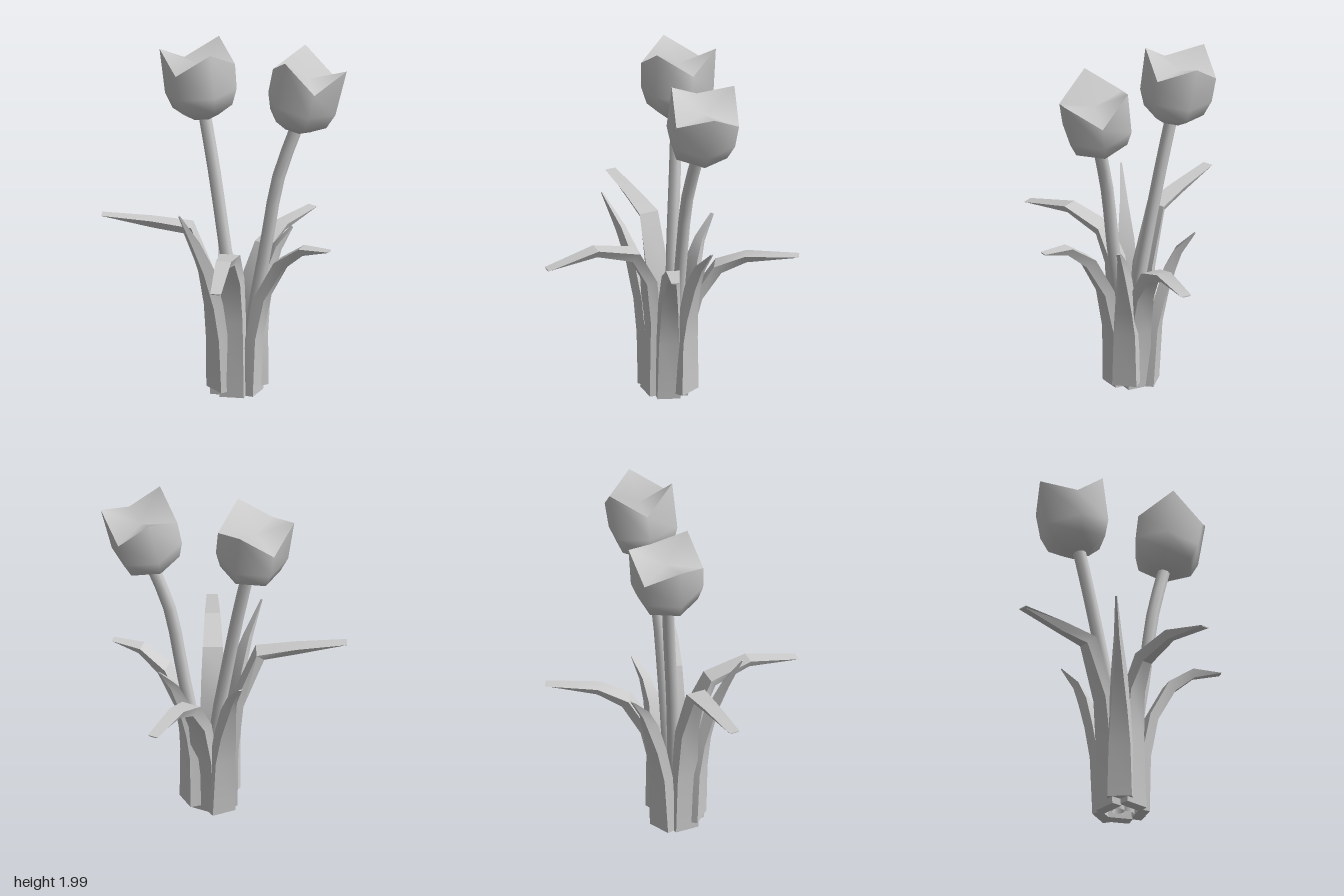
import * as THREE from 'three';
import { toCreasedNormals } from 'three/addons/utils/BufferGeometryUtils.js';

const grey = new THREE.MeshStandardMaterial({ color: 0xcccccc, side: THREE.DoubleSide });
grey.name = 'lightGrey';

// Centre of the clump from which all leaves spread
const CLUMP = new THREE.Vector3(-0.07, 0, 0);

function part(name, geometry) {
  const mesh = new THREE.Mesh(geometry, grey);
  mesh.name = name;
  return mesh;
}

// Six-sided bloom: the rim alternates petal tips and notches around a shallow closed top
function makeBloom(base, axis, turn, tipHeight) {
  const profile = [[0, 0], [0.08, 0.0], [0.165, 0.055], [0.198, 0.145], [0.203, 0.285], [0, 0.295]]
    .map(([r, h]) => new THREE.Vector2(r, h));
  const rim = 4;
  const geo = new THREE.LatheGeometry(profile, 6, THREE.MathUtils.degToRad(turn));
  const pos = geo.attributes.position;
  for (let i = 0; i <= 6; i += 2) pos.setY(i * profile.length + rim, tipHeight);
  const bloom = part('bloom', toCreasedNormals(geo, 1.2));
  bloom.position.set(...base);
  bloom.quaternion.setFromUnitVectors(new THREE.Vector3(0, 1, 0), new THREE.Vector3(...axis).normalize());
  return bloom;
}

function makeStem(points) {
  const curve = new THREE.CatmullRomCurve3(points.map((p) => new THREE.Vector3(...p)));
  return part('stem', new THREE.TubeGeometry(curve, 10, 0.035, 8));
}

// Blade bent outward: flat upper face and a narrower keel below, both tapering to the tip.
// path holds [distance from clump, height] of the upper face, widths runs base to tip.
const KEEL_DEPTH = [0.06, 0.055, 0.055, 0.06, 0.045, 0.006];
const KEEL_WIDTH = [0.9, 0.85, 0.75, 0.55, 0.45, 0.6];

function makeLeaf([dx, dz], path, widths) {
  const out = new THREE.Vector3(dx, 0, dz).normalize();
  const side = new THREE.Vector3(-out.z, 0, out.x);
  const up = new THREE.Vector3(0, 1, 0);
  const last = path.length - 1;
  const verts = [];
  const index = [];
  path.forEach(([r, y], i) => {
    const a = path[Math.max(i - 1, 0)];
    const b = path[Math.min(i + 1, last)];
    const len = Math.hypot(b[0] - a[0], b[1] - a[1]);
    // Outward (lower) normal of the blade
    const n = out.clone().multiplyScalar((b[1] - a[1]) / len).addScaledVector(up, -(b[0] - a[0]) / len);
    if (i === 0) n.copy(out);
    const centre = CLUMP.clone().addScaledVector(out, r).addScaledVector(up, y);
    const w = widths[i] / 2;
    const k = w * KEEL_WIDTH[i];
    const d = KEEL_DEPTH[i];
    for (const [s, t] of [[-w, 0], [w, 0], [k, d], [-k, d]]) {
      verts.push(...centre.clone().addScaledVector(side, s).addScaledVector(n, t).toArray());
    }
    if (i < last) {
      for (let c = 0; c < 4; c++) {
        const p = i * 4 + c;
        const q = i * 4 + (c + 1) % 4;
        index.push(p, q, p + 4, q, q + 4, p + 4);
      }
    }
  });
  const e = last * 4;
  index.push(0, 2, 1, 0, 3, 2, e, e + 1, e + 2, e, e + 2, e + 3);
  const geo = new THREE.BufferGeometry();
  geo.setAttribute('position', new THREE.Float32BufferAttribute(verts, 3));
  geo.setIndex(index);
  return part('leaf', toCreasedNormals(geo, 0.45));
}

export function createModel() {
  const model = new THREE.Group();
  model.name = 'tulips';

  // Two flowers leaning apart
  const back = new THREE.Group();
  back.name = 'backFlower';
  back.add(
    makeStem([[-0.06, 0.02, -0.02], [-0.06, 0.5, -0.035], [-0.075, 0.85, -0.09], [-0.09, 1.28, -0.17], [-0.105, 1.57, -0.23]]),
    makeBloom([-0.108, 1.555, -0.235], [-0.02, 0.99, -0.14], -14.5, 0.395),
  );
  const front = new THREE.Group();
  front.name = 'frontFlower';
  front.add(
    makeStem([[-0.02, 0.02, 0.03], [0.01, 0.45, 0.06], [0.055, 0.85, 0.11], [0.11, 1.27, 0.155], [0.195, 1.57, 0.21]]),
    makeBloom([0.19, 1.558, 0.207], [0.18, 0.97, 0.118], 34, 0.41),
  );
  model.add(back, front);

  // Leaves: spread direction, bend path, widths
  const broad = [0.15, 0.14, 0.13, 0.11, 0.085, 0.06];
  const slim = [0.15, 0.14, 0.12, 0.085, 0.055, 0.025];
  const leaves = [
    [[-0.53, -0.5], [[0.07, 0.0], [0.08, 0.35], [0.11, 0.65], [0.235, 0.97], [0.45, 0.995], [0.73, 1.01]], broad],
    [[0.69, -0.21], [[0.06, 0.0], [0.085, 0.35], [0.145, 0.6], [0.26, 0.78], [0.43, 0.845], [0.72, 0.845]], broad],
    [[-0.5, 0.49], [[0.07, 0.01], [0.065, 0.45], [0.085, 0.7], [0.18, 0.88], [0.42, 0.94], [0.71, 0.87]], broad],
    [[0.25, 0.51], [[0.08, 0.01], [0.095, 0.35], [0.145, 0.6], [0.26, 0.82], [0.405, 0.925], [0.575, 0.935]], [0.14, 0.13, 0.12, 0.1, 0.075, 0.045]],
    [[-0.38, 0.0], [[0.085, 0.04], [0.1, 0.35], [0.125, 0.55], [0.175, 0.77], [0.26, 0.95], [0.38, 1.13]], [0.15, 0.14, 0.12, 0.09, 0.045, 0.012]],
    [[0.31, 0.11], [[0.11, 0.04], [0.115, 0.35], [0.13, 0.5], [0.165, 0.7], [0.225, 0.83], [0.325, 0.93]], slim],
    [[0.13, -0.33], [[0.085, 0.0], [0.11, 0.35], [0.15, 0.55], [0.195, 0.72], [0.25, 0.83], [0.36, 0.94]], slim],
  ];
  for (const leaf of leaves) model.add(makeLeaf(...leaf));

  return model;
}
